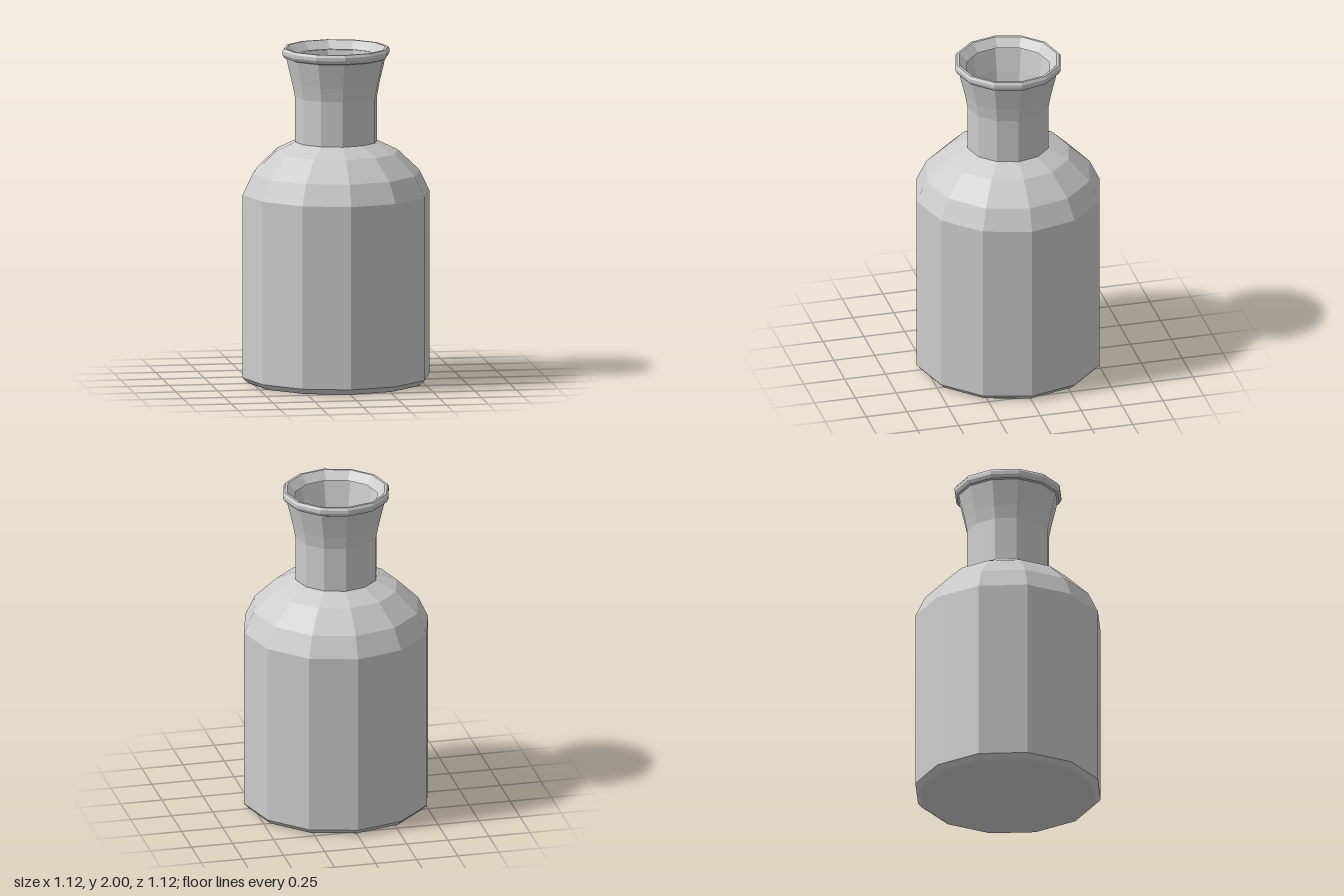
import * as THREE from 'three';

const SIDES = 12;

export function createModel() {
  const model = new THREE.Group();
  model.name = 'bottle';

  const material = new THREE.MeshStandardMaterial({
    color: 0xcccccc,
    flatShading: true,
    side: THREE.DoubleSide,
  });

  // Turns a [radius, height] profile, listed from bottom to top
  function turned(name, profile) {
    const points = profile.map(([r, y]) => new THREE.Vector2(r, y));
    const mesh = new THREE.Mesh(new THREE.LatheGeometry(points, SIDES), material);
    mesh.name = name;
    model.add(mesh);
  }

  // Flat base with a small bevel, straight wall and rounded shoulder
  turned('body', [
    [0, 0], [0.52, 0], [0.535, 0.008], [0.56, 0.035],
    [0.56, 1.13], [0.5, 1.255], [0.37, 1.38], [0.247, 1.44],
  ]);

  // Straight neck flaring towards the mouth
  turned('neck', [
    [0.247, 1.44], [0.247, 1.71], [0.262, 1.79], [0.298, 1.94],
  ]);

  // Rolled rim with an inward sloping lip
  turned('rim', [
    [0.298, 1.94], [0.31, 1.945], [0.322, 1.965], [0.322, 1.985],
    [0.312, 2], [0.297, 2], [0.25, 1.95],
  ]);

  return model;
}
